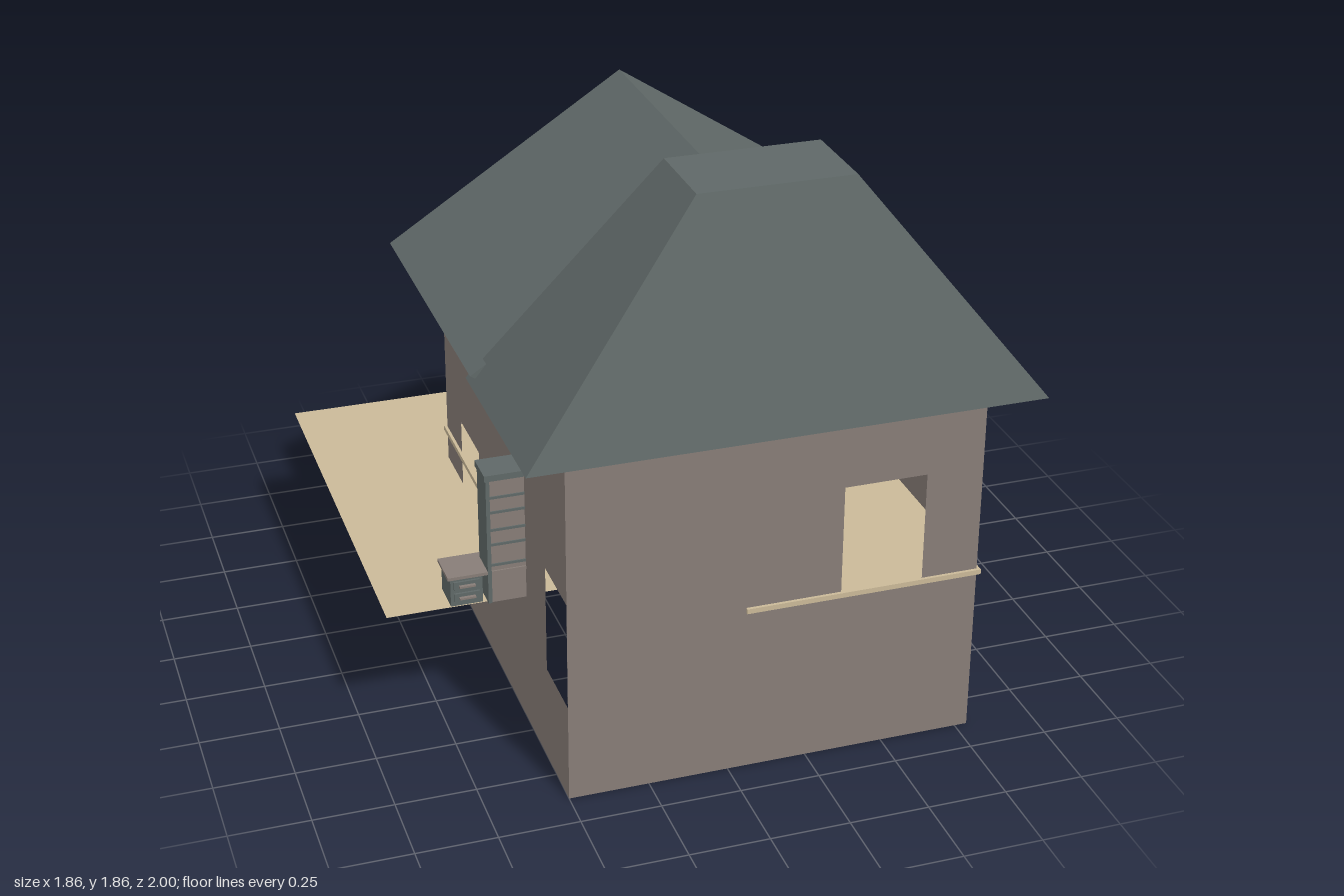
import * as THREE from 'three';

const S = THREE.DoubleSide;
const mat = (name, color) => {
  const m = new THREE.MeshStandardMaterial({ color, side: S, flatShading: true });
  m.name = name;
  return m;
};

export function createModel() {
  const house = new THREE.Group();
  house.name = 'house';
  const plaster = mat('warm grey plaster', 0x877d77);
  const slate = mat('slate', 0x5f6867);
  const timber = mat('pale timber', 0xcab998);

  const add = (name, geo, material, parent = house) => {
    const m = new THREE.Mesh(geo, material);
    m.name = name;
    parent.add(m);
    return m;
  };
  const poly = (pts) => new THREE.Shape(pts.map(([x, y]) => new THREE.Vector2(x, y)));
  // box given by its limits on each axis
  const box = (name, x0, x1, y0, y1, z0, z1, material, parent) => {
    const m = add(name, new THREE.BoxGeometry(x1 - x0, y1 - y0, z1 - z0), material, parent);
    m.position.set((x0 + x1) / 2, (y0 + y1) / 2, (z0 + z1) / 2);
    return m;
  };
  // thin wall with rectangular openings [a0, a1, y0, y1]
  const wall = (name, a0, a1, openings) => {
    const s = poly([[a0, 0], [a1, 0], [a1, 1.12], [a0, 1.12]]);
    for (const [l, r, b, t] of openings) {
      s.holes.push(new THREE.Path([[l, b], [l, t], [r, t], [r, b]].map(([x, y]) => new THREE.Vector2(x, y))));
    }
    return add(name, new THREE.ShapeGeometry(s), plaster);
  };
  // solid between two horizontal rectangles [x0, x1, z0, z1]
  const frustum = (name, lo, y0, hi, y1, material) => {
    const g = new THREE.BoxGeometry(1, 1, 1);
    const p = g.attributes.position;
    for (let i = 0; i < p.count; i++) {
      const up = p.getY(i) > 0;
      const r = up ? hi : lo;
      p.setXYZ(i, r[p.getX(i) > 0 ? 1 : 0], up ? y1 : y0, r[p.getZ(i) > 0 ? 3 : 2]);
    }
    g.computeVertexNormals();
    return add(name, g, material);
  };
  const extrudeZ = (name, pts, z0, z1, material) => {
    const g = new THREE.ExtrudeGeometry(poly(pts), { depth: z1 - z0, bevelEnabled: false });
    g.translate(0, 0, z0);
    return add(name, g, material);
  };
  // floor outline given as [x, z]
  const slab = (name, pts, y0, y1, material) => {
    const g = new THREE.ExtrudeGeometry(poly(pts.map(([x, z]) => [x, -z])), { depth: y1 - y0, bevelEnabled: false });
    g.rotateX(-Math.PI / 2).translate(0, y0, 0);
    return add(name, g, material);
  };

  // walls
  wall('frontWall', -0.5, 0.79, [[0.35, 0.61, 0.55, 0.91]]).position.z = 0.88;
  wall('backWall', -0.5, 0.79, [
    [0.46, 0.73, 0.64, 1.02], [0.02, 0.28, 0.64, 1.02], [-0.42, -0.15, 0.64, 1.02],
    [0.14, 0.37, 0.001, 0.35], [-0.3, -0.07, 0.23, 0.52],
  ]).position.z = -0.52;
  const side = wall('rightWall', -0.52, 0.88, [[-0.325, -0.1, 0.44, 0.67], [0.66, 0.879, 0.32, 0.67]]);
  side.rotation.y = -Math.PI / 2;
  side.position.x = -0.5;
  const left = wall('leftWall', -0.52, 0.88, []);
  left.rotation.y = -Math.PI / 2;
  left.position.x = 0.79;

  // upper floor with a stairwell corner left open, and its ceiling below
  slab('upperFloor', [[-0.51, -0.53], [0.8, -0.53], [0.8, 0.89], [0.05, 0.89], [0.05, 0.22], [-0.51, 0.22]], 0.542, 0.558, timber);
  slab('lowerCeiling', [[-0.498, -0.518], [0.788, -0.518], [0.788, 0.878], [0.052, 0.878], [0.052, 0.218], [-0.498, 0.218]], 0.536, 0.541, plaster);

  // terrace deck running through the house
  const deck = add('deck', new THREE.PlaneGeometry(1.31, 1.42).rotateX(-Math.PI / 2), timber);
  deck.position.set(-0.275, 0.44, -0.29);

  // hipped front roof on a flared soffit
  frustum('frontSoffit', [-0.505, 0.795, 0.42, 0.885], 1.11, [-0.57, 0.86, 0.36, 0.94], 1.17, slate);
  frustum('frontRoof', [-0.645, 0.925, 0.35, 1], 1.17, [-0.095, 0.38, 0.53, 0.81], 1.86, slate);

  // gabled rear roof: closed gable body under overhanging slopes
  extrudeZ('gableBody', [[-0.505, 1.11], [0.795, 1.11], [0.87, 1.19], [0.86, 1.23], [0.14, 1.695], [-0.58, 1.23], [-0.59, 1.19]], -0.555, 0.41, slate);
  extrudeZ('gableRoof', [[-0.645, 1.2], [-0.63, 1.19], [0.14, 1.69], [0.91, 1.19], [0.925, 1.2], [0.14, 1.71]], -0.625, 0.405, slate);

  // tall outdoor stove against the side wall
  const stove = new THREE.Group();
  stove.name = 'outdoorStove';
  house.add(stove);
  box('stoveBody', -0.61, -0.5, 0.45, 0.87, 0.355, 0.445, plaster, stove);
  box('stoveCap', -0.625, -0.5, 0.87, 0.89, 0.345, 0.455, slate, stove);
  box('stovePost', -0.62, -0.608, 0.45, 0.87, 0.35, 0.45, slate, stove);
  for (const y of [0.58, 0.65, 0.7, 0.76, 0.81]) {
    box('stoveBand', -0.61, -0.5, y - 0.004, y + 0.004, 0.352, 0.449, slate, stove);
  }

  // low side cabinet with a worktop and drawers
  const cabinet = new THREE.Group();
  cabinet.name = 'sideCabinet';
  house.add(cabinet);
  box('cabinetBody', -0.735, -0.635, 0.455, 0.55, 0.33, 0.44, slate, cabinet);
  box('worktop', -0.745, -0.5, 0.55, 0.56, 0.325, 0.45, plaster, cabinet);
  for (const y of [0.485, 0.525]) {
    box('drawer', -0.725, -0.645, y - 0.014, y + 0.014, 0.44, 0.447, slate, cabinet);
    box('drawerHandle', -0.71, -0.66, y - 0.003, y + 0.003, 0.447, 0.458, plaster, cabinet);
  }
  return house;
}
